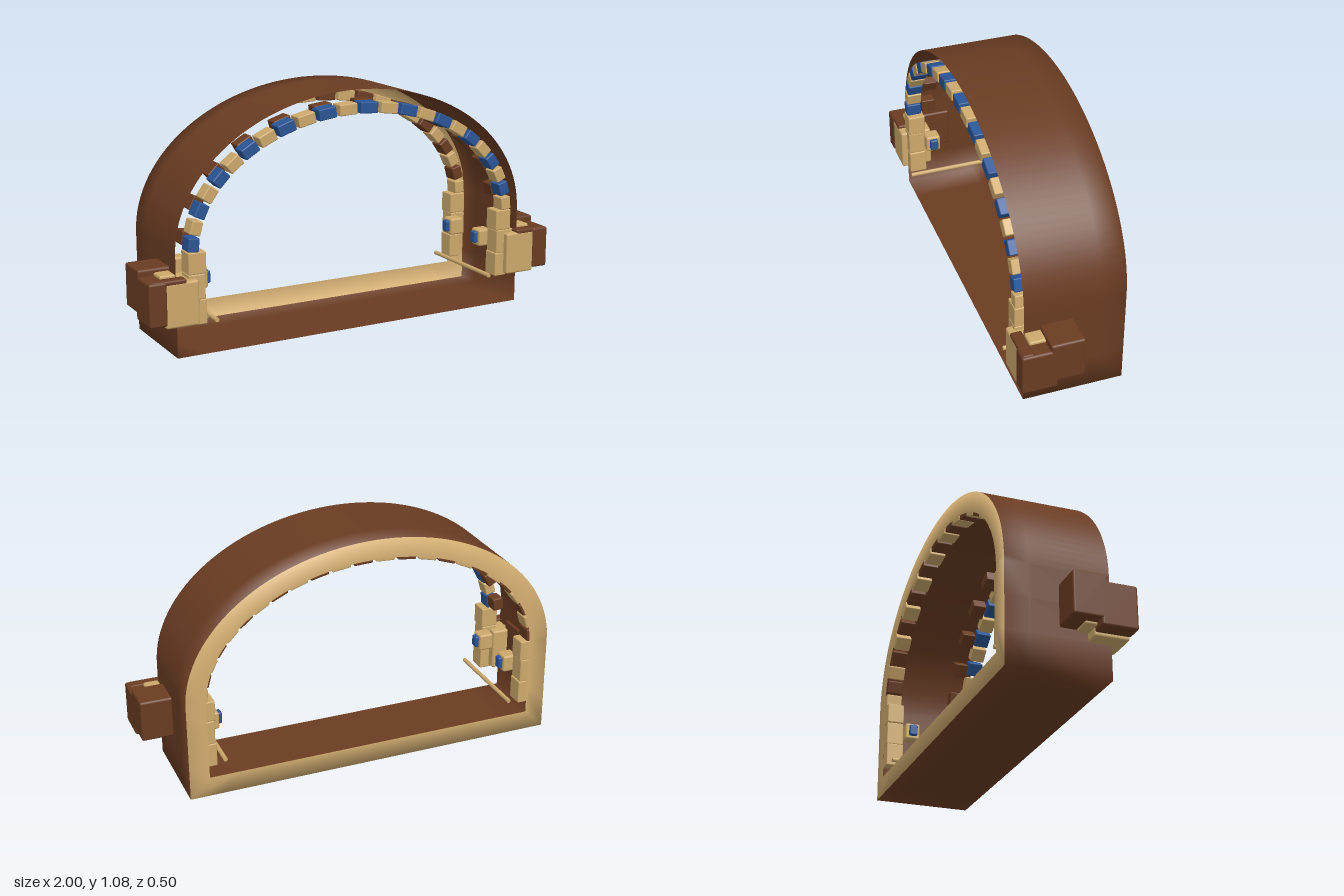
import * as THREE from 'three';
import { RoundedBoxGeometry } from 'three/addons/geometries/RoundedBoxGeometry.js';

const mat = (name, color, side = THREE.FrontSide) => {
  const m = new THREE.MeshStandardMaterial({ color, side });
  m.name = name;
  return m;
};

// Arch outline, inset by d: flat sill, straight jambs, elliptical head
function outline(d) {
  const pts = [], w = 0.86 - d, spring = 0.45, h = 0.625 - d;
  for (let i = 0; i < 12; i++) pts.push([-w + (2 * w * i) / 12, d]);
  for (let i = 0; i < 3; i++) pts.push([w, d + ((spring - d) * i) / 3]);
  for (let i = 0; i <= 64; i++) {
    const a = (Math.PI * i) / 64;
    pts.push([w * Math.cos(a), spring + h * Math.sin(a)]);
  }
  for (let i = 2; i > 0; i--) pts.push([-w, d + ((spring - d) * i) / 3]);
  return pts;
}

// Open shell plus the rim closing its back edge, sharing smooth normals
function shellGeometry() {
  const rows = [[0, 0.2], [0, -0.14], [0, -0.25], [0.09, -0.25]];
  const pos = [], index = [];
  let n = 0;
  for (const [d, z] of rows) {
    const pts = outline(d);
    n = pts.length;
    pts.forEach(([x, y]) => pos.push(x, y, z));
  }
  for (let r = 0; r < rows.length - 1; r++) {
    for (let i = 0; i < n; i++) {
      const j = (i + 1) % n;
      const a = r * n + i, b = r * n + j, c = a + n, d = b + n;
      index.push(a, c, b, b, c, d);
    }
  }
  const g = new THREE.BufferGeometry();
  g.setAttribute('position', new THREE.Float32BufferAttribute(pos, 3));
  g.setIndex(index);
  g.computeVertexNormals();
  g.addGroup(0, 12 * n, 0);
  g.addGroup(12 * n, 6 * n, 1);
  return g;
}

export function createModel() {
  const root = new THREE.Group();
  root.name = 'archway';
  const brown = mat('brown wood', 0x6a3c22);
  const shellBrown = mat('brown shell', 0x6a3c22, THREE.DoubleSide);
  const tan = mat('tan stone', 0xcda96c);
  const rimTan = mat('tan rim', 0xd3ae72, THREE.DoubleSide);
  const blue = mat('blue stone', 0x2a5596);

  const shell = new THREE.Mesh(shellGeometry(), [shellBrown, rimTan]);
  shell.name = 'archShell';
  root.add(shell);

  // Rounded block from its min and max corners
  const block = (parent, name, m, [x0, x1], [y0, y1], [z0, z1], r = 0.01) => {
    const mesh = new THREE.Mesh(new RoundedBoxGeometry(x1 - x0, y1 - y0, z1 - z0, 2, r), m);
    mesh.position.set((x0 + x1) / 2, (y0 + y1) / 2, (z0 + z1) / 2);
    mesh.name = name;
    parent.add(mesh);
    return mesh;
  };

  // Rows of small stones following the ellipse
  const count = 24, A = 0.785, B = 0.545;
  function stoneArc(name, z, evenMat, oddMat, shift = 0) {
    const arc = new THREE.Group();
    arc.name = name;
    for (let i = 0; i < count; i++) {
      const m = i % 2 ? oddMat : evenMat;
      if (!m) continue;
      const t = -Math.PI / 2 + ((i + 0.5) * Math.PI) / count + shift;
      const dx = A * Math.cos(t), dy = -B * Math.sin(t);
      const len = Math.hypot(dx, dy) * (Math.PI / count) * 0.84;
      const s = block(arc, 'archStone', m, [-len / 2, len / 2], [-0.025, 0.025], z, 0.005);
      s.position.x = A * Math.sin(t);
      s.position.y = 0.45 + B * Math.cos(t);
      s.rotation.z = Math.atan2(dy, dx);
    }
    root.add(arc);
  }
  stoneArc('frontStones', [0.15, 0.22], blue, tan);
  stoneArc('innerStones', [0.08, 0.145], brown, null, 0.025);
  stoneArc('backStones', [-0.245, -0.17], brown, tan);

  // One side, with x measured outwards; s mirrors it
  for (const s of [1, -1]) {
    const side = new THREE.Group();
    side.name = s > 0 ? 'leftSide' : 'rightSide';
    const add = (name, m, x, y, z, r) =>
      block(side, name, m, s > 0 ? x : [-x[1], -x[0]], y, z, r);

    // Stacked columns at front and back
    for (const z of [[0.14, 0.222], [-0.245, -0.165]]) {
      add('columnBase', tan, [0.73, 0.79], [0.14, 0.25], z, 0.005);
      add('columnMiddle', tan, [0.735, 0.81], [0.25, 0.36], z, 0.005);
      add('columnTop', tan, [0.73, 0.81], [0.36, 0.455], z, 0.005);
    }

    // Knobs with blue gems facing the opening
    for (const z of [0.11, -0.13]) {
      add('knob', tan, [0.69, 0.76], [0.27, 0.35], [z - 0.035, z + 0.035]);
      add('gem', blue, [0.672, 0.695], [0.285, 0.34], [z - 0.02, z + 0.02], 0.008);
    }

    // Thin rail between the columns
    const rail = new THREE.Mesh(new THREE.CylinderGeometry(0.01, 0.01, 0.46, 10), tan);
    rail.rotation.x = Math.PI / 2;
    rail.position.set(s * 0.69, 0.152, 0);
    rail.name = 'rail';
    side.add(rail);

    // Bracket on the outside of the wall
    add('bracketFace', tan, [0.775, 0.925], [0.15, 0.345], [0.1, 0.25]);
    add('bracketFront', brown, [0.92, 1.0], [0.165, 0.355], [0.1, 0.255]);
    add('bracketCap', brown, [0.83, 0.99], [0.335, 0.358], [0.2, 0.25], 0.008);
    add('bracketRear', brown, [0.85, 1.0], [0.195, 0.385], [-0.02, 0.13]);
    add('topPad', tan, [0.86, 0.93], [0.34, 0.368], [0.12, 0.2], 0.008);
    add('bottomPad', tan, [0.86, 0.95], [0.184, 0.21], [0.05, 0.12], 0.008);
    root.add(side);
  }
  return root;
}
